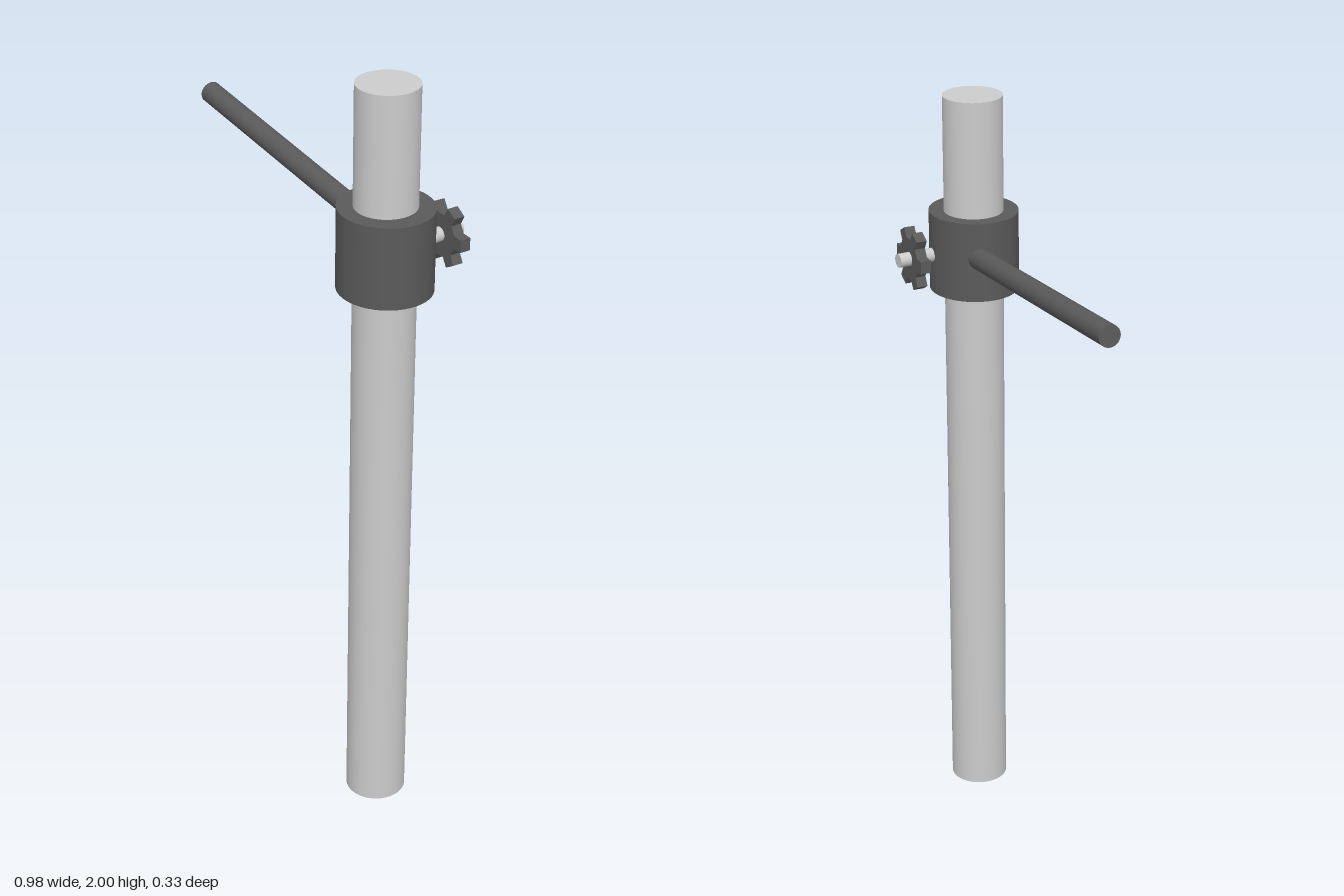
import * as THREE from 'three';

const light = new THREE.MeshStandardMaterial({ color: 0xcccccc });
const dark = new THREE.MeshStandardMaterial({ color: 0x5a5a5a });

// Round bar between two points
function bar(name, from, to, radius, material, sides = 32) {
  const a = new THREE.Vector3(...from);
  const b = new THREE.Vector3(...to);
  const dir = b.clone().sub(a);
  const mesh = new THREE.Mesh(new THREE.CylinderGeometry(radius, radius, dir.length(), sides), material);
  mesh.name = name;
  mesh.position.copy(a).add(b).multiplyScalar(0.5);
  mesh.quaternion.setFromUnitVectors(new THREE.Vector3(0, 1, 0), dir.normalize());
  return mesh;
}

// Toothed outline for the hand knob
function knobShape(teeth, outer, inner) {
  const shape = new THREE.Shape();
  const step = (Math.PI * 2) / teeth;
  for (let i = 0; i < teeth; i++) {
    const mid = i * step;
    [[-0.29, inner], [-0.19, outer], [0.19, outer], [0.29, inner]].forEach(([t, r], k) => {
      const a = mid + t * step;
      const x = Math.cos(a) * r, y = Math.sin(a) * r;
      if (i === 0 && k === 0) shape.moveTo(x, y);
      else shape.lineTo(x, y);
    });
  }
  shape.closePath();
  return shape;
}

export function createModel() {
  const model = new THREE.Group();
  model.name = 'poleClamp';

  // Upright pole
  model.add(bar('pole', [0.363, 0, 0.045], [0.363, 2, 0.045], 0.077, light, 48));

  // Clamp collar, very slightly oval
  const collar = bar('collar', [0.367, 1.486, 0.047], [0.367, 1.696, 0.047], 0.12, dark, 48);
  collar.scale.z = 0.96;
  model.add(collar);

  // Side arm, rising outward
  model.add(bar('arm', [-0.487, 1.667, -0.049], [0.29, 1.598, 0.01], 0.028, dark));

  // Clamping screw at the back
  model.add(bar('screw', [0.382, 1.587, -0.04], [0.382, 1.587, -0.164], 0.018, light, 24));

  // Toothed hand knob on the screw
  const depth = 0.028;
  const geometry = new THREE.ExtrudeGeometry(knobShape(6, 0.081, 0.056), { depth, bevelEnabled: false });
  geometry.translate(0, 0, -depth / 2);
  const knob = new THREE.Mesh(geometry, dark);
  knob.name = 'knob';
  knob.position.set(0.385, 1.586, -0.118);
  knob.rotation.y = -0.055;
  model.add(knob);

  return model;
}
